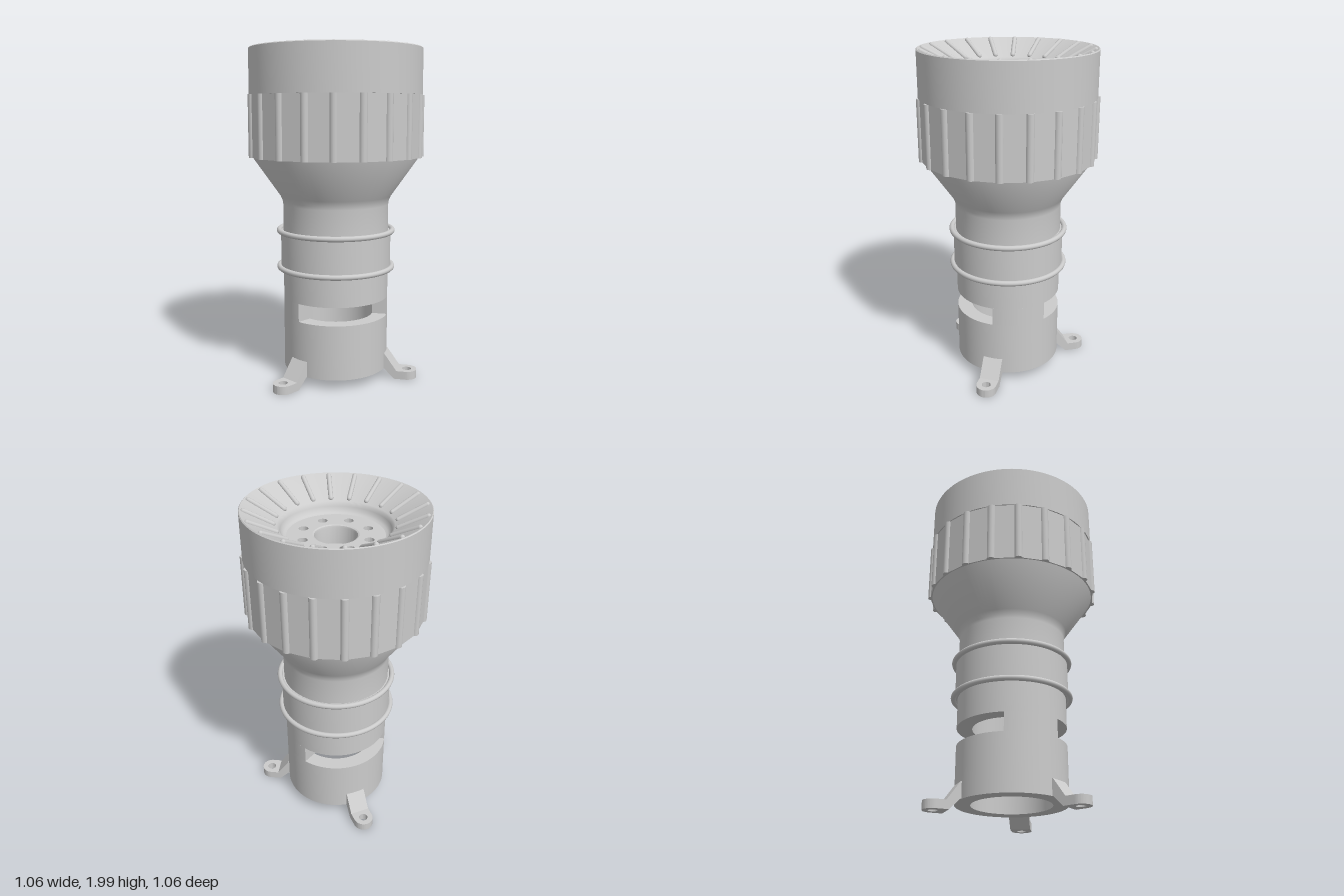
import * as THREE from 'three';
import { toCreasedNormals } from 'three/addons/utils/BufferGeometryUtils.js';

const grey = new THREE.MeshStandardMaterial({ color: 0xcccccc });
const faceted = new THREE.MeshStandardMaterial({ color: 0xcccccc, flatShading: true });
const TAU = Math.PI * 2;

function mesh(name, geometry, material = grey) {
  const m = new THREE.Mesh(geometry, material);
  m.name = name;
  return m;
}

// Closed or open profile of [radius, height] pairs spun round y
function lathe(name, profile) {
  const points = profile.map(([r, y]) => new THREE.Vector2(r, y));
  return mesh(name, toCreasedNormals(new THREE.LatheGeometry(points, 96), 0.65));
}

// Plan outline extruded upwards from height y
function slab(name, shape, y, depth) {
  const g = new THREE.ExtrudeGeometry(shape, { depth, bevelEnabled: false, curveSegments: 40 });
  g.rotateX(-Math.PI / 2).translate(0, y, 0);
  return mesh(name, toCreasedNormals(g, 0.5));
}

function circleHole(shape, x, y, r) {
  shape.holes.push(new THREE.Path().absarc(x, y, r, 0, TAU, true));
}

// Mounting foot pointing along +x: sloping arm and a drilled, rounded pad
function makeFoot() {
  const foot = new THREE.Group();
  foot.name = 'foot';
  const arm = new THREE.Shape([[0.3, 0.06], [0.32, 0.06], [0.38, 0], [0.41, 0], [0.41, 0.05],
    [0.395, 0.05], [0.32, 0.155], [0.3, 0.155]].map(([x, y]) => new THREE.Vector2(x, y)));
  const armGeo = new THREE.ExtrudeGeometry(arm, { depth: 0.12, bevelEnabled: false });
  armGeo.translate(0, 0, -0.06);
  foot.add(mesh('footArm', armGeo));

  const pad = new THREE.Shape();
  pad.moveTo(0.405, -0.06);
  pad.lineTo(0.45, -0.06);
  pad.absarc(0.45, 0, 0.06, -Math.PI / 2, Math.PI / 2, false);
  pad.lineTo(0.405, 0.06);
  pad.closePath();
  circleHole(pad, 0.45, 0, 0.027);
  foot.add(slab('footPad', pad, 0, 0.05));
  return foot;
}

export function createModel() {
  const model = new THREE.Group();
  model.name = 'torch';

  // Hollow base tube below the windows
  model.add(lathe('baseTube', [[0.23, 0.06], [0.32, 0.06], [0.32, 0.39], [0.23, 0.39], [0.23, 0.06]]));

  // Two wall pieces left standing between the front and back windows
  for (const side of [0, Math.PI]) {
    const a = Math.PI / 6;
    const wall = new THREE.Shape();
    wall.absarc(0, 0, 0.32, -a, a, false);
    wall.absarc(0, 0, 0.23, a, -a, true);
    wall.closePath();
    const pillar = slab('windowPillar', wall, 0.39, 0.11);
    pillar.rotation.y = side;
    model.add(pillar);
  }

  // Upper tube, flared head, conical reflector and centre well in one skin
  model.add(lathe('body', [
    [0, 1.0], [0.23, 1.0], [0.23, 0.5], [0.32, 0.5], [0.32, 0.68], [0.335, 0.68],
    [0.335, 0.91], [0.32, 0.91], [0.32, 1.07], [0.323, 1.09], [0.335, 1.12],
    [0.5, 1.355], [0.5, 1.72], [0.515, 1.72], [0.515, 1.985], [0.51, 1.99],
    [0.318, 1.89], [0.308, 1.882], [0.302, 1.865], [0.295, 1.847], [0.283, 1.835], [0.27, 1.83],
    [0.27, 1.78], [0.128, 1.78], [0.128, 1.83], [0.12, 1.826], [0.117, 1.815], [0.117, 1.65], [0, 1.65],
  ]));

  // Round collars on the tube
  for (const y of [0.685, 0.908]) {
    const collar = mesh('collar', new THREE.TorusGeometry(0.345, 0.016, 12, 96));
    collar.rotation.x = Math.PI / 2;
    collar.position.y = y;
    model.add(collar);
  }

  // Drilled reflector floor
  const floor = new THREE.Shape().absarc(0, 0, 0.27, 0, TAU, false);
  circleHole(floor, 0, 0, 0.128);
  for (let i = 0; i < 8; i++) {
    const a = (i / 8) * TAU;
    circleHole(floor, 0.193 * Math.cos(a), 0.193 * Math.sin(a), 0.027);
  }
  model.add(slab('reflectorFloor', floor, 1.78, 0.05));

  // Twenty-sided grip band
  const band = mesh('gripBand', new THREE.CylinderGeometry(0.514, 0.514, 0.365, 20), faceted);
  band.position.y = 1.5375;
  model.add(band);

  // Grip ribs outside, matching ridges on the reflector cone
  const ribGeo = new THREE.CylinderGeometry(0.024, 0.024, 0.365, 12);
  const ridgeGeo = new THREE.CapsuleGeometry(0.014, 0.172, 6, 12);
  const slope = Math.atan2(0.1, 0.192);
  for (let i = 0; i < 20; i++) {
    const spoke = new THREE.Group();
    spoke.name = 'spoke';
    spoke.rotation.y = (i / 20) * TAU;
    const rib = mesh('gripRib', ribGeo);
    rib.position.set(0.504, 1.5375, 0);
    const ridge = mesh('reflectorRidge', ridgeGeo);
    ridge.position.set(0.413, 1.941, 0);
    ridge.rotation.z = slope - Math.PI / 2;
    spoke.add(rib, ridge);
    model.add(spoke);
  }

  // Three feet: one at the back, two towards the front
  for (let i = 0; i < 3; i++) {
    const foot = makeFoot();
    foot.rotation.y = Math.PI / 2 + (i / 3) * TAU;
    model.add(foot);
  }

  return model;
}
